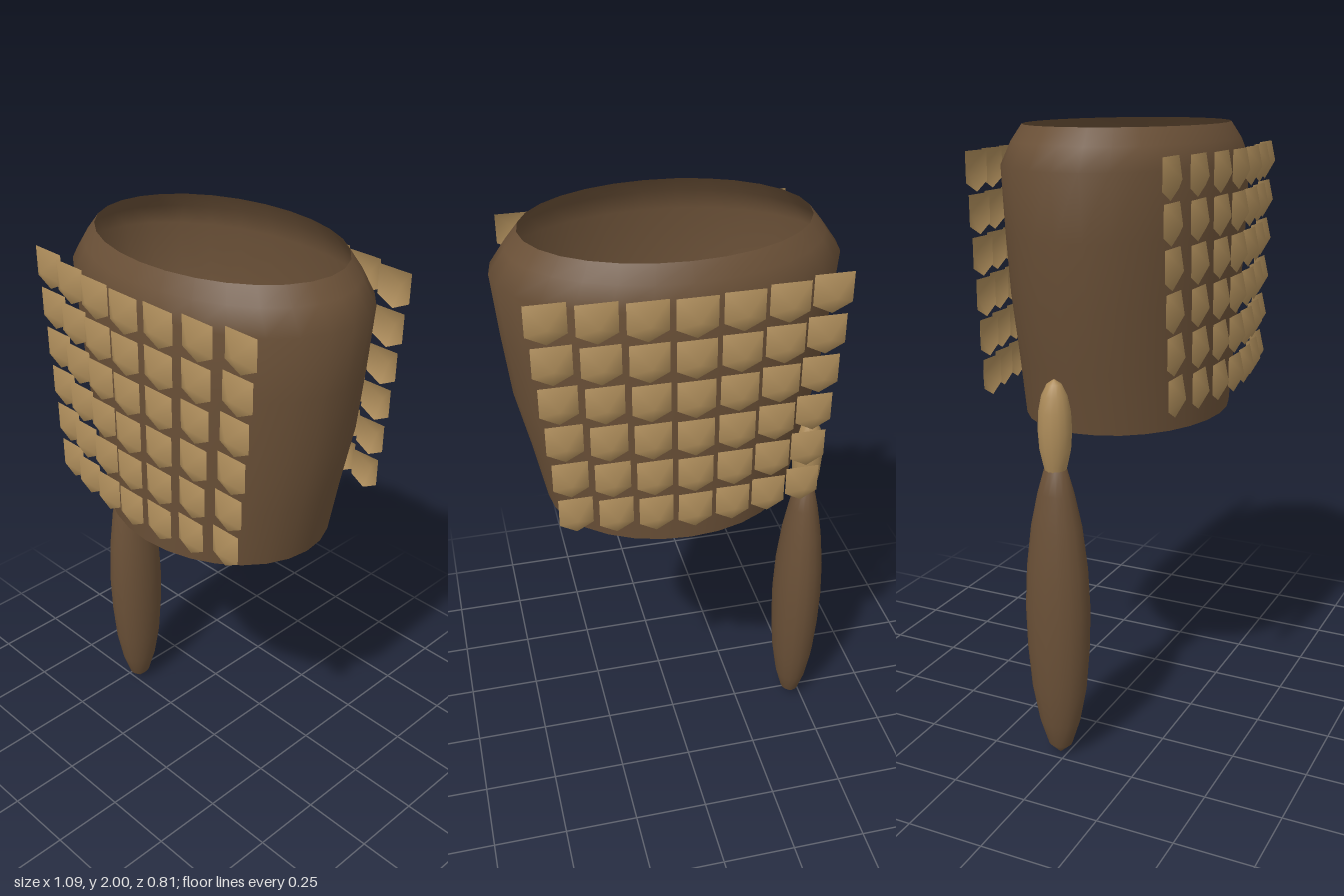
import * as THREE from 'three';

const brown = new THREE.MeshStandardMaterial({ color: 0x6a5037, side: THREE.DoubleSide });
brown.name = 'dark brown';
const tan = new THREE.MeshStandardMaterial({ color: 0xad8c5a });
tan.name = 'tan';
const tanPlate = new THREE.MeshStandardMaterial({ color: 0xad8c5a, side: THREE.DoubleSide });
tanPlate.name = 'tan plate';

const CX = 0.018; // the body sits slightly off the centre line

function add(parent, name, geometry, material, x = 0, y = 0, z = 0) {
  const mesh = new THREE.Mesh(geometry, material);
  mesh.name = name;
  mesh.position.set(x, y, z);
  parent.add(mesh);
  return mesh;
}

// Stack of elliptical rings, each [y, radiusX, radiusZ, shiftZ]
function ringLoft(rings, segments = 24) {
  const pos = [], idx = [];
  for (const [y, rx, rz, dz = 0] of rings) {
    for (let i = 0; i < segments; i++) {
      const a = (i / segments) * Math.PI * 2;
      pos.push(Math.sin(a) * rx, y, Math.cos(a) * rz + dz);
    }
  }
  for (let r = 0; r < rings.length - 1; r++) {
    for (let i = 0; i < segments; i++) {
      const a = r * segments + i, b = r * segments + ((i + 1) % segments);
      const c = a + segments, d = b + segments;
      idx.push(a, b, d, a, d, c);
    }
  }
  const g = new THREE.BufferGeometry();
  g.setAttribute('position', new THREE.Float32BufferAttribute(pos, 3));
  g.setIndex(idx);
  g.computeVertexNormals();
  return g;
}

// Five-sided scale with a raised centre
function scaleGeometry(w, h, depth) {
  const rim = [[-w / 2, 0], [-w / 2, -h * 0.76], [0, -h], [w / 2, -h * 0.76], [w / 2, 0]];
  const pos = [0, -h * 0.5, depth];
  rim.forEach(([x, y]) => pos.push(x, y, 0));
  const idx = [];
  for (let i = 0; i < 5; i++) idx.push(0, 1 + i, 1 + ((i + 1) % 5));
  const g = new THREE.BufferGeometry();
  g.setAttribute('position', new THREE.Float32BufferAttribute(pos, 3));
  g.setIndex(idx);
  g.computeVertexNormals();
  return g;
}

export function createModel() {
  const model = new THREE.Group();
  model.name = 'armouredTorso';

  // Open body shell
  add(model, 'bodyShell', ringLoft([
    [1.08, 0.40, 0.325],
    [1.28, 0.44, 0.335],
    [1.48, 0.485, 0.347],
    [1.68, 0.507, 0.355],
    [1.88, 0.525, 0.36],
    [1.95, 0.475, 0.335],
    [2.0, 0.435, 0.303],
  ], 28), brown, CX);

  // Rows of scales on the chest and the back
  const baseZ = [0.372, 0.364, 0.345, 0.317];
  for (const side of [1, -1]) {
    const armour = new THREE.Group();
    armour.name = side > 0 ? 'chestScales' : 'backScales';
    armour.position.x = CX;
    if (side < 0) armour.rotation.y = Math.PI;
    for (let row = 0; row < 6; row++) {
      const pitch = 0.136 - row * 0.0035;
      const g = scaleGeometry(0.119 - row * 0.003, 0.123, 0.035);
      for (let col = -3; col <= 3; col++) {
        add(armour, 'scale', g, tanPlate, col * pitch, 1.927 - row * 0.129, baseZ[Math.abs(col)]);
      }
    }
    model.add(armour);
  }

  // Head sunk inside the shell, open at the crown, chin pushed forward
  const head = new THREE.Group();
  head.name = 'headGroup';
  head.position.x = CX;
  const rings = [[1.25, 0.012, 0.012, 0.14], [1.26, 0.05, 0.05, 0.13],
    [1.30, 0.10, 0.10, 0.11], [1.37, 0.17, 0.17, 0.07], [1.44, 0.24, 0.25, 0.03]];
  for (let i = 0; i <= 8; i++) {
    const a = (i / 8) * 1.49;
    rings.push([1.5 + 0.2 * Math.sin(a), 0.276 * Math.cos(a), 0.305 * Math.cos(a), 0.005]);
  }
  add(head, 'head', ringLoft(rings), tan);
  for (const s of [1, -1]) {
    const ear = add(head, s > 0 ? 'leftEar' : 'rightEar',
      new THREE.SphereGeometry(1, 14, 10), tan, s * 0.254, 1.45, 0.11);
    ear.scale.set(0.022, 0.07, 0.095);
    ear.rotation.y = -s * 0.15;
  }
  model.add(head);

  // Hanging right arm: slim upper piece and long spindle
  const arm = new THREE.Group();
  arm.name = 'rightArm';
  arm.position.set(-0.463, 0, -0.025);
  add(arm, 'upperArm', ringLoft([
    [0.97, 0.03, 0.03], [1.0, 0.037, 0.038], [1.05, 0.047, 0.049], [1.11, 0.051, 0.053],
    [1.17, 0.048, 0.05], [1.22, 0.039, 0.04], [1.255, 0.022, 0.023], [1.27, 0.001, 0.001],
  ], 14), tan);
  add(arm, 'lowerArm', ringLoft([
    [0.0, 0.001, 0.001], [0.035, 0.033, 0.04], [0.12, 0.056, 0.068], [0.24, 0.074, 0.091],
    [0.38, 0.083, 0.103], [0.52, 0.086, 0.107], [0.66, 0.081, 0.1], [0.8, 0.067, 0.083],
    [0.91, 0.049, 0.059], [0.985, 0.033, 0.037], [0.99, 0.001, 0.001],
  ], 16), brown);
  model.add(arm);

  return model;
}
